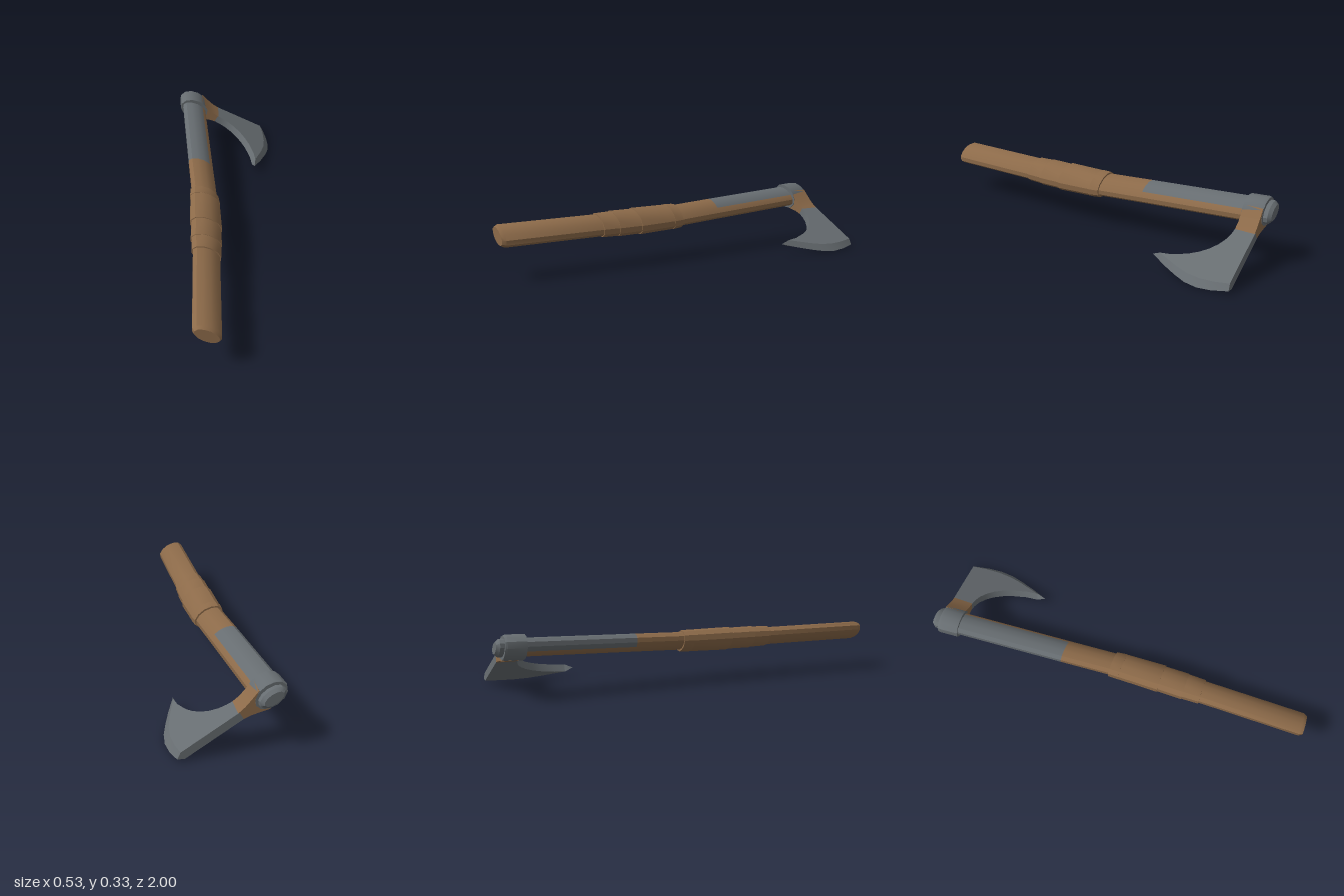
import * as THREE from 'three';
import { toCreasedNormals } from 'three/addons/utils/BufferGeometryUtils.js';

const SIDES = 12;
const MID = 0.138; // height of the centre plane in the tilted frame

// Skin a list of equal-sized rings, close both ends; pick(i, j) gives each face's material index
function loft(rings, pick = () => 0) {
  const n = rings[0].length, faces = [[], []];
  const add = (m, ...pts) => pts.forEach((p) => faces[m].push(...p));
  for (let i = 0; i < rings.length - 1; i++) {
    for (let j = 0; j < n; j++) {
      const k = (j + 1) % n, m = pick(i, j);
      const [a, b, c, d] = [rings[i][j], rings[i][k], rings[i + 1][k], rings[i + 1][j]];
      add(m, a, b, c);
      add(m, a, c, d);
    }
  }
  const first = rings[0], last = rings[rings.length - 1];
  for (let j = 1; j < n - 1; j++) {
    add(0, first[0], first[j + 1], first[j]);
    add(0, last[0], last[j], last[j + 1]);
  }
  const geo = new THREE.BufferGeometry();
  geo.setAttribute('position', new THREE.Float32BufferAttribute([...faces[0], ...faces[1]], 3));
  geo.addGroup(0, faces[0].length / 3, 0);
  if (faces[1].length) geo.addGroup(faces[0].length / 3, faces[1].length / 3, 1);
  return toCreasedNormals(geo, 0.6);
}

// Gently bent centre line of the haft
const LINE = [[-1, -0.298], [-0.3, -0.236], [0, -0.208], [0.22, -0.2], [0.45, -0.197], [1.01, -0.1925]];
function centre(z) {
  let i = 0;
  while (i < LINE.length - 2 && z > LINE[i + 1][0]) i++;
  const [[z0, x0], [z1, x1]] = [LINE[i], LINE[i + 1]];
  return x0 + ((x1 - x0) * (z - z0)) / (z1 - z0);
}

// Oval cross-section at z; tilt leans it square to the sloping upper haft
function oval(z, a, b, tilt = 0) {
  return Array.from({ length: SIDES }, (_, j) => {
    const t = (j / SIDES) * Math.PI * 2, dx = a * Math.cos(t);
    return [centre(z) + dx, MID + b * Math.sin(t), z - tilt * dx];
  });
}

export function createModel() {
  const wood = new THREE.MeshStandardMaterial({ color: 0x8c6a49 });
  wood.name = 'brownWood';
  const steel = new THREE.MeshStandardMaterial({ color: 0x676d71 });
  steel.name = 'greySteel';

  const model = new THREE.Group();
  model.name = 'axe';
  const body = new THREE.Group();
  body.name = 'tiltedAxe';
  body.rotation.z = -Math.PI / 6;
  model.add(body);
  const part = (name, geo, mat) => {
    const mesh = new THREE.Mesh(geo, mat);
    mesh.name = name;
    body.add(mesh);
  };

  // Haft, with a steel strip along its back near the head
  const haft = [-0.95, -0.29, 0, 0.45, 0.98].map((z) => oval(z, 0.075, 0.041));
  haft.push(oval(0.998, 0.064, 0.033));
  part('haft', loft(haft, (i, j) => (i === 0 && j >= 2 && j <= 7 ? 1 : 0)), [wood, steel]);

  // Overlapping grip wraps: z start, z end, half width and half thickness at each end
  [
    [-0.035, 0.02, 0.083, 0.05, 0.087, 0.053],
    [0.015, 0.23, 0.085, 0.052, 0.09, 0.055],
    [0.225, 0.36, 0.085, 0.051, 0.086, 0.052],
    [0.355, 0.45, 0.083, 0.05, 0.08, 0.048],
  ].forEach(([z0, z1, a0, b0, a1, b1], i) =>
    part('gripWrap' + (i + 1), loft([oval(z0, a0, b0), oval(z1, a1, b1)]), wood));

  // Collar around the haft and the knob behind it
  const tilt = 0.087;
  part('collar', loft([oval(-0.957, 0.081, 0.057, tilt), oval(-0.945, 0.085, 0.061, tilt),
    oval(-0.852, 0.085, 0.061, tilt)]), steel);
  part('knob', loft([oval(-0.994, 0.05, 0.026, tilt), oval(-0.978, 0.068, 0.04, tilt),
    oval(-0.94, 0.07, 0.042, tilt)]), steel);

  // Neck flaring from blade thickness to collar thickness
  const neckRing = ([x, h, z0, z1]) =>
    [[x, MID - h, z0], [x, MID + h, z0], [x, MID + h, z1], [x, MID - h, z1]];
  part('neck', loft([[-0.26, 0.056, -0.959, -0.856], [-0.215, 0.04, -0.963, -0.86],
    [-0.17, 0.026, -0.967, -0.864], [-0.13, 0.02, -0.971, -0.866]].map(neckRing)), wood);

  // Blade cheek: flat plate with a concave beard
  const h = 0.02;
  const bevel = [[0.172, -0.997], [0.187, -0.92], [0.192, -0.845], [0.185, -0.775],
    [0.165, -0.705], [0.142, -0.645], [0.119, -0.585]];
  const edge = [[0.2015, -1], [0.224, -0.92], [0.2327, -0.845], [0.224, -0.775],
    [0.2015, -0.71], [0.168, -0.63], [0.123, -0.54]];
  const beard = [[0.109, -0.645], [0.08, -0.72], [0.053, -0.765], [0.019, -0.805],
    [-0.02, -0.835], [-0.061, -0.855], [-0.1, -0.864], [-0.137, -0.866]];
  const outline = [[-0.137, -0.971], ...bevel, ...beard].map(([x, z]) => new THREE.Vector2(x, z));
  const cheek = new THREE.ExtrudeGeometry(new THREE.Shape(outline), { depth: 2 * h, bevelEnabled: false });
  cheek.rotateX(Math.PI / 2).translate(0, MID + h, 0);
  part('bladeCheek', toCreasedNormals(cheek, 0.6), steel);

  // Sharpened edge, wedge-shaped in section
  part('cuttingEdge', loft(bevel.map(([x, z], i) =>
    [[x, MID - h, z], [edge[i][0], MID, edge[i][1]], [x, MID + h, z]])), steel);

  return model;
}
